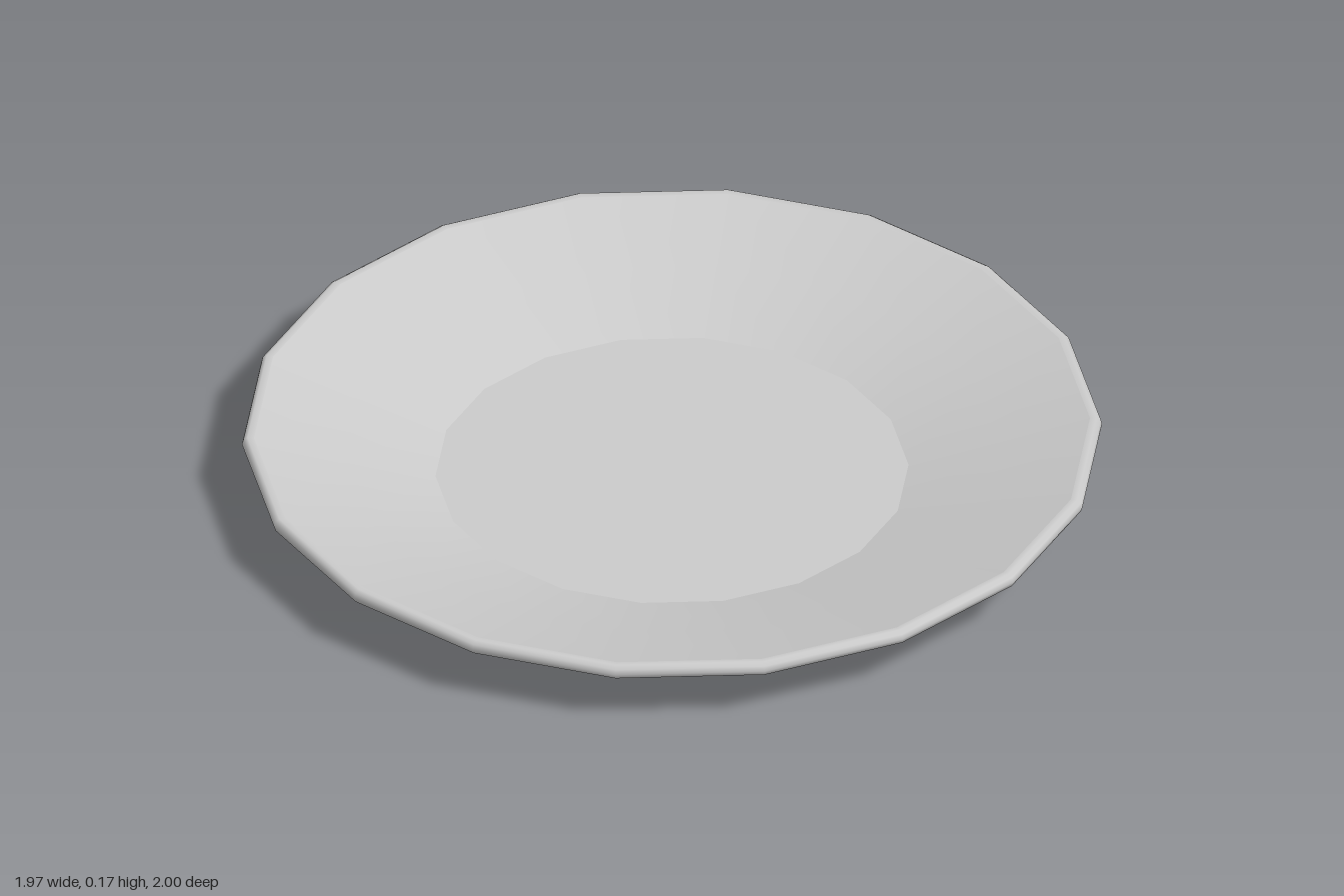
import * as THREE from 'three';

const SIDES = 18;

export function createModel() {
  const plate = new THREE.Group();
  plate.name = 'plate';
  const material = new THREE.MeshStandardMaterial({ color: 0xcccccc });

  // Each part is its own lathe, so shading is smooth inside a part and sharp between parts.
  // Profiles run [radius, height] from the underside centre, out over the rim, to the top centre.
  const addRing = (name, profile) => {
    const points = profile.map(([r, y]) => new THREE.Vector2(r, y));
    const mesh = new THREE.Mesh(new THREE.LatheGeometry(points, SIDES), material);
    mesh.name = name;
    plate.add(mesh);
  };

  // Recessed base and raised foot ring
  addRing('base', [[0, 0.018], [0.53, 0.018]]);
  addRing('footInnerWall', [[0.53, 0.018], [0.538, 0]]);
  addRing('footBottom', [[0.538, 0], [0.56, 0]]);
  addRing('footOuterWall', [[0.56, 0], [0.564, 0.02]]);

  // Sloping underside, rounded lip and sloping upper side
  addRing('underside', [[0.564, 0.02], [0.983, 0.128]]);
  addRing('lip', [[0.983, 0.128], [0.996, 0.136], [1, 0.148], [0.997, 0.16], [0.987, 0.167], [0.972, 0.165]]);
  addRing('upperSide', [[0.972, 0.165], [0.76, 0.105], [0.55, 0.046]]);

  // Flat eating surface
  addRing('floor', [[0.55, 0.046], [0, 0.046]]);

  return plate;
}
